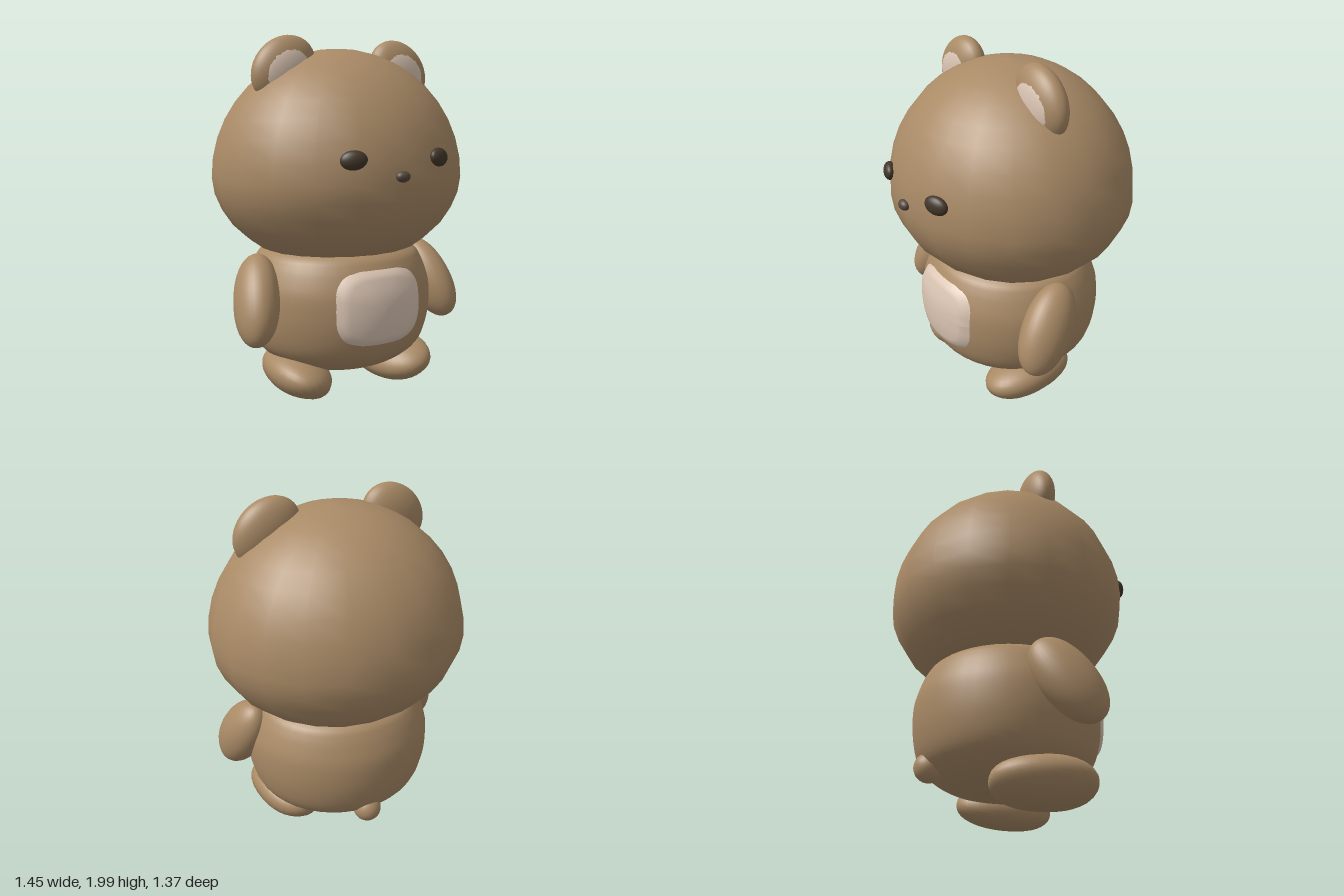
import * as THREE from 'three';

const mat = (color) => new THREE.MeshStandardMaterial({ color, roughness: 0.8 });

export function createModel() {
  const bear = new THREE.Group();
  bear.name = 'bear';
  const fur = mat(0xa98a66);
  const pale = mat(0xdcc6b4);
  const dark = mat(0x43372a);
  const noseMat = mat(0x55483c);

  const add = (name, geometry, material, position = [0, 0, 0]) => {
    const mesh = new THREE.Mesh(geometry, material);
    mesh.name = name;
    mesh.position.set(...position);
    bear.add(mesh);
    return mesh;
  };
  // Ellipsoid; power above 2 makes it boxier
  const ellipsoid = (name, material, radii, position, power = 2) => {
    const geometry = new THREE.SphereGeometry(1, 32, 22);
    const p = geometry.attributes.position;
    const v = new THREE.Vector3();
    for (let i = 0; i < p.count; i++) {
      v.fromBufferAttribute(p, i);
      const sum = Math.abs(v.x) ** power + Math.abs(v.y) ** power + Math.abs(v.z) ** power;
      v.multiplyScalar(sum ** (-1 / power));
      p.setXYZ(i, v.x, v.y, v.z);
    }
    geometry.scale(...radii);
    return add(name, geometry, material, position);
  };
  const toPoints = (profile) => profile.map(([r, y]) => new THREE.Vector2(r, y));

  // Head: half ellipsoid on top, fuller cheeks and a flattened underside
  const headProfile = [[0, 0.775], [0.25, 0.785], [0.4, 0.812], [0.47, 0.843], [0.54, 0.893],
    [0.612, 0.96], [0.672, 1.05], [0.71, 1.14]];
  for (let i = 0; i <= 10; i++) {
    const a = (i / 10) * Math.PI / 2;
    headProfile.push([i === 10 ? 0 : 0.724 * Math.cos(a), 1.23 + 0.715 * Math.sin(a)]);
  }
  add('head', new THREE.LatheGeometry(toPoints(headProfile), 20).scale(1, 1, 0.925), fur, [0, 0, -0.014]);

  // Body
  const bodyWidth = 1.06;
  const bodyProfile = new THREE.SplineCurve(toPoints([[0, 0.115], [0.1, 0.117], [0.22, 0.138],
    [0.345, 0.185], [0.435, 0.25], [0.48, 0.32], [0.506, 0.42], [0.515, 0.52], [0.51, 0.62],
    [0.488, 0.7], [0.458, 0.77], [0.418, 0.82], [0.3, 0.88]])).getPoints(48);
  add('body', new THREE.LatheGeometry(bodyProfile, 40).scale(bodyWidth, 1, 1), fur, [0, 0, -0.01]);
  const bodyRadius = (y) => {
    const i = bodyProfile.findIndex((p) => p.y >= y);
    const a = bodyProfile[i - 1];
    const b = bodyProfile[i];
    return a.x + (b.x - a.x) * (y - a.y) / (b.y - a.y);
  };

  // Belly patch: rounded square laid over the body surface, rim sunk in
  const patch = new THREE.RingGeometry(0.001, 1, 48, 8);
  const pos = patch.attributes.position;
  const squarish = (v) => Math.sign(v) * Math.abs(v) ** 0.6;
  for (let i = 0; i < pos.count; i++) {
    const rho = Math.hypot(pos.getX(i), pos.getY(i));
    const x = 0.27 * rho * squarish(pos.getX(i) / rho);
    const y = 0.56 + 0.208 * rho * squarish(pos.getY(i) / rho);
    const lift = rho > 0.99 ? -0.005 : 0.016;
    pos.setXYZ(i, x, y, Math.sqrt(bodyRadius(y) ** 2 - (x / bodyWidth) ** 2) - 0.01 + lift);
  }
  patch.computeVertexNormals();
  add('bellyPatch', patch, pale).material.side = THREE.DoubleSide;

  // Nose and tail
  ellipsoid('nose', noseMat, [0.04, 0.029, 0.028], [0, 1.275, 0.655]);
  ellipsoid('tail', fur, [0.08, 0.08, 0.08], [0, 0.25, -0.435]);

  // Paired parts
  for (const s of [1, -1]) {
    const side = s > 0 ? 'left' : 'right';

    // Ears are wide ovals leaning with the curve of the head
    const ear = ellipsoid(side + 'Ear', fur, [0.202, 0.163, 0.093], [s * 0.367, 1.821, 0.053]);
    const innerEar = ellipsoid(side + 'InnerEar', pale, [0.16, 0.13, 0.058], [s * 0.367, 1.817, 0.09]);
    ear.rotation.z = innerEar.rotation.z = s * -0.7;

    const eye = ellipsoid(side + 'Eye', dark, [0.069, 0.049, 0.033], [s * 0.257, 1.362, 0.605]);
    eye.rotation.set(-0.1, s * 0.38, s * -0.05);

    // Arm hangs down, outward and forward
    const arm = ellipsoid(side + 'Arm', fur, [0.118, 0.262, 0.15],
      [s > 0 ? 0.555 : -0.575, 0.595, 0.123], 2.15);
    const down = new THREE.Vector3(s * 0.22, -0.81, 0.54).normalize();
    arm.quaternion.setFromUnitVectors(new THREE.Vector3(0, -1, 0), down);

    // Foot rolled so its outer edge is raised, toes slightly out
    const foot = ellipsoid(side + 'Foot', fur, [0.182, 0.116, 0.28], [s * 0.322, 0.135, 0.082], 2.25);
    foot.rotation.set(0, s * 0.12, s * 0.33);
  }
  return bear;
}
